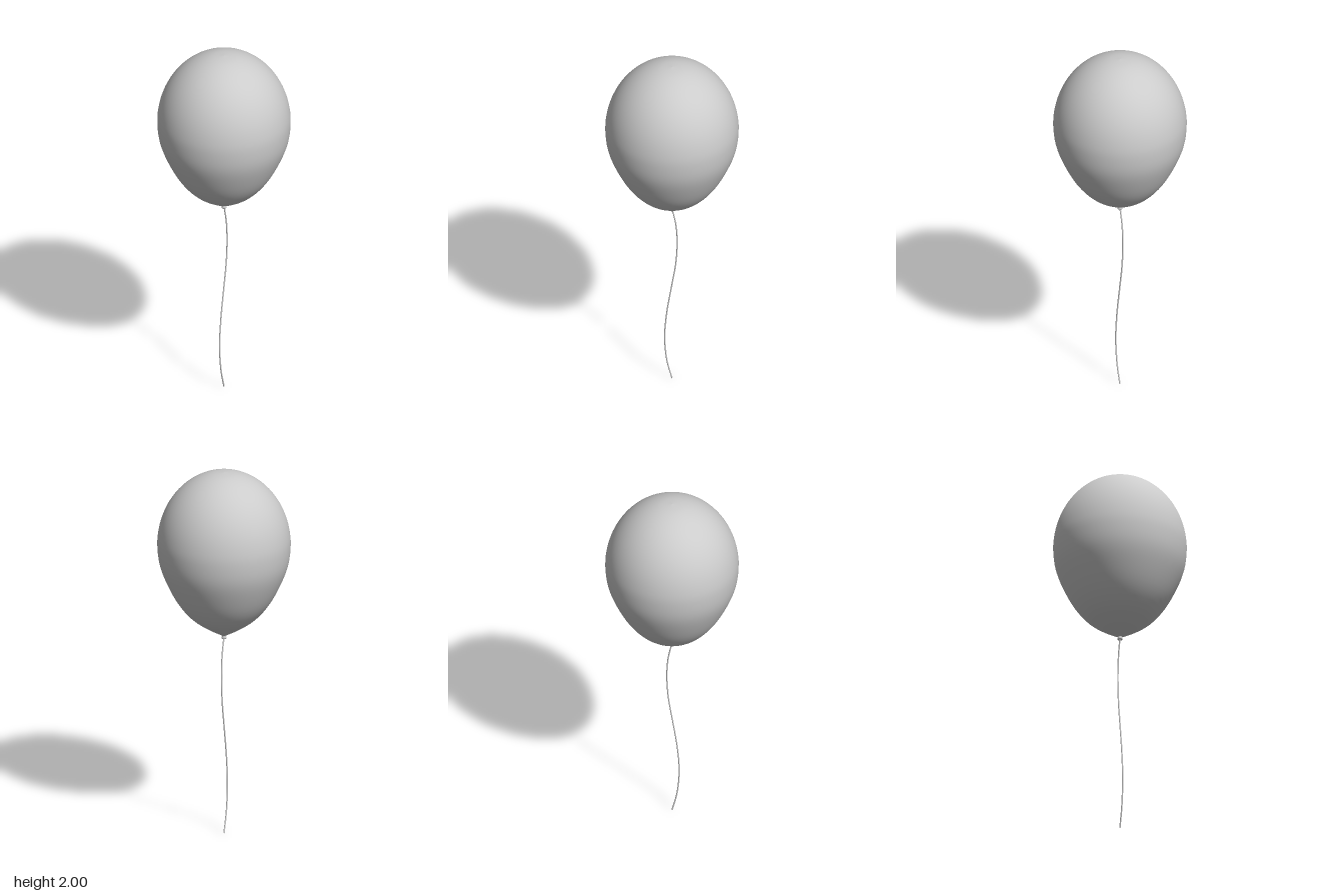
import * as THREE from 'three';

const material = new THREE.MeshStandardMaterial({ color: 0xcccccc, side: THREE.DoubleSide });

function addPart(group, name, geometry) {
  const mesh = new THREE.Mesh(geometry, material);
  mesh.name = name;
  group.add(mesh);
}

const points2 = (list) => list.map(([x, y]) => new THREE.Vector2(x, y));

export function createModel() {
  const group = new THREE.Group();
  group.name = 'balloon';

  // Teardrop body: tapered lower half, elliptical upper half
  const radius = 0.348, middle = 1.6, rise = 0.4;
  const profile = [[0.008, 1.095], [0.09, 1.142], [0.175, 1.204], [0.245, 1.29], [0.302, 1.4], [0.337, 1.5]];
  for (let i = 0; i <= 8; i++) {
    const a = (i / 8) * Math.PI / 2;
    profile.push([i === 8 ? 0 : radius * Math.cos(a), middle + rise * Math.sin(a)]);
  }
  const outline = new THREE.SplineCurve(points2(profile)).getPoints(56);
  outline.forEach((p) => { p.x = Math.max(p.x, 0); });
  addPart(group, 'body', new THREE.LatheGeometry(outline, 64));

  // Tied neck with a small flared lip
  const neck = [[0, 1.084], [0.013, 1.08], [0.014, 1.086], [0.009, 1.092], [0.012, 1.099], [0.008, 1.104]];
  addPart(group, 'knot', new THREE.LatheGeometry(points2(neck), 24));

  // String waving gently front to back
  const path = new THREE.CatmullRomCurve3([
    [0, 0], [0.026, 0.11], [0.038, 0.26], [0.027, 0.42], [0.002, 0.59],
    [-0.02, 0.74], [-0.027, 0.88], [-0.02, 0.99], [0, 1.09],
  ].map(([z, y]) => new THREE.Vector3(0, y, z)));
  addPart(group, 'string', new THREE.TubeGeometry(path, 80, 0.004, 8));

  return group;
}
